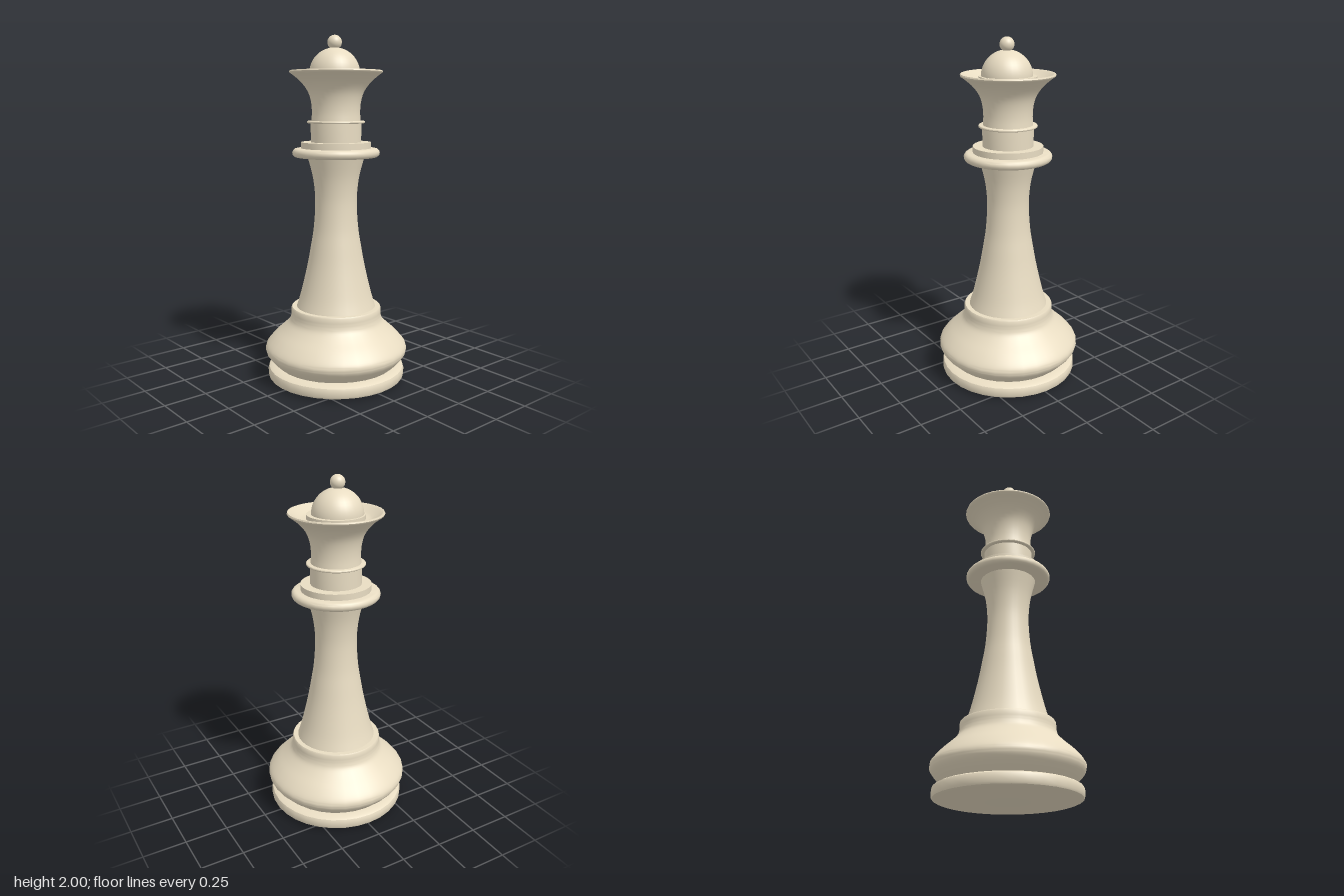
import * as THREE from 'three';
import { toCreasedNormals } from 'three/addons/utils/BufferGeometryUtils.js';

const SIDES = 32;
const wood = new THREE.MeshStandardMaterial({ color: 0xe8dcc2 });

// Points of a smooth curve through the given [radius, height] pairs
const smooth = (pairs, steps) =>
  new THREE.SplineCurve(pairs.map(([r, y]) => new THREE.Vector2(r, y)))
    .getPoints(steps).map((p) => [p.x, p.y]);

// Turned part; the profile runs from the bottom axis outwards and up
function turned(name, profile) {
  const points = profile.map(([r, y]) => new THREE.Vector2(r, y));
  const geometry = toCreasedNormals(new THREE.LatheGeometry(points, SIDES), 0.6);
  const mesh = new THREE.Mesh(geometry, wood);
  mesh.name = name;
  return mesh;
}

// Disc with half-round edge
function roundedDisc(name, radius, y0, y1) {
  const h = (y1 - y0) / 2;
  const profile = [[0, y0]];
  for (let i = 0; i <= 8; i++) {
    const a = -Math.PI / 2 + (i / 8) * Math.PI;
    profile.push([radius - h + h * Math.cos(a), y0 + h + h * Math.sin(a)]);
  }
  profile.push([0, y1]);
  return turned(name, profile);
}

function ball(name, radius, x, y, hemisphere) {
  const geometry = new THREE.SphereGeometry(radius, SIDES, hemisphere ? 12 : 20,
    0, Math.PI * 2, 0, hemisphere ? Math.PI / 2 : Math.PI);
  const mesh = new THREE.Mesh(geometry, wood);
  mesh.name = name;
  mesh.position.set(x, y, 0);
  return mesh;
}

export function createModel() {
  const group = new THREE.Group();
  group.name = 'chessQueen';

  group.add(
    // Foot plate with softened edges
    turned('footPlate', [
      [0, 0], [0.1, 0.002], [0.385, 0.01], [0.4, 0.016], [0.405, 0.026],
      [0.405, 0.06], [0.4, 0.073], [0.385, 0.081], [0.35, 0.088], [0, 0.088],
    ]),
    // Swelling base with a short upright collar
    turned('base', [
      [0, 0.08],
      ...smooth([[0.35, 0.088], [0.385, 0.122], [0.412, 0.155], [0.42, 0.185],
        [0.408, 0.215], [0.368, 0.26], [0.315, 0.308], [0.28, 0.345],
        [0.268, 0.375], [0.265, 0.4]], 36),
      [0.265, 0.426], [0.26, 0.434], [0, 0.434],
    ]),
    // Waisted stem
    turned('stem', [
      [0, 0.43],
      ...smooth([[0.234, 0.43], [0.212, 0.5], [0.187, 0.6], [0.165, 0.7],
        [0.147, 0.8], [0.131, 0.9], [0.122, 1.02], [0.123, 1.11],
        [0.136, 1.21], [0.165, 1.32]], 30),
      [0, 1.32],
    ]),
    // Collars above the stem
    roundedDisc('wideCollar', 0.252, 1.315, 1.366),
    turned('upperCollar', [[0, 1.36], [0.2, 1.36], [0.2, 1.401], [0, 1.401]]),
    turned('neck', [[0, 1.4], [0.145, 1.4], [0.145, 1.52], [0, 1.52]]),
    roundedDisc('neckRing', 0.167, 1.508, 1.522),
    // Flared crown with a shallow dished top around a raised seat
    turned('crown', [
      [0, 1.515],
      ...smooth([[0.142, 1.515], [0.138, 1.57], [0.143, 1.63], [0.16, 1.685],
        [0.195, 1.735], [0.235, 1.771], [0.262, 1.79]], 20),
      [0.265, 1.797], [0.262, 1.804], [0.255, 1.804],
      ...smooth([[0.25, 1.801], [0.22, 1.783], [0.19, 1.769], [0.161, 1.765]], 10),
      [0.161, 1.79], [0, 1.79],
    ]),
    // Dome and finial, set slightly off the axis
    ball('dome', 0.144, -0.01, 1.787, true),
    ball('finial', 0.041, -0.01, 1.959, false),
  );
  return group;
}
